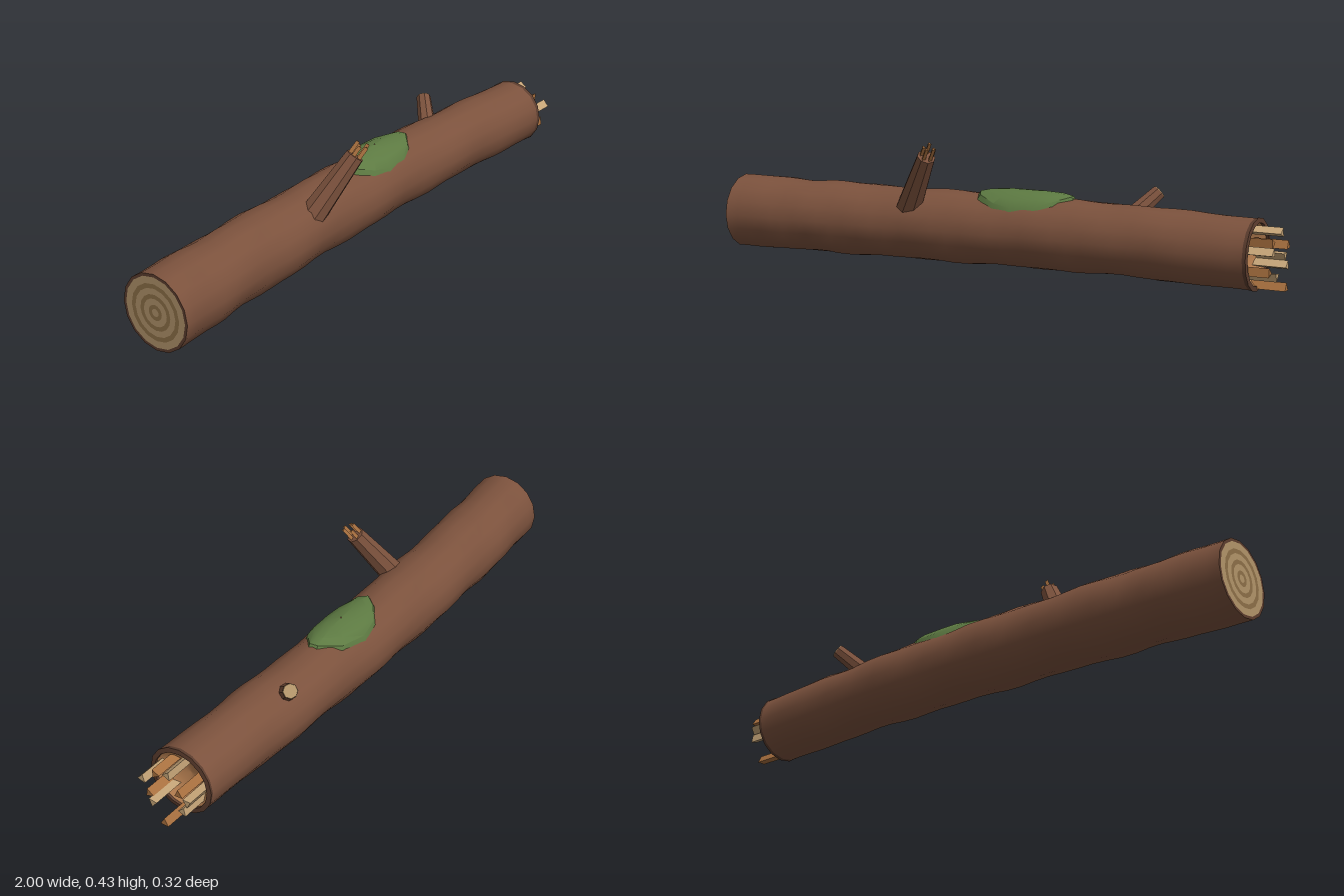
import * as THREE from 'three';
import { toCreasedNormals } from 'three/addons/utils/BufferGeometryUtils.js';

const SIDES = 16;
const V = (x, y, z) => new THREE.Vector3(x, y, z);

// Gently bowed centre line of the trunk
const spine = new THREE.CatmullRomCurve3([
  V(-1, 0.136, 0), V(-0.6, 0.135, -0.024), V(-0.1, 0.138, -0.035),
  V(0.4, 0.143, -0.029), V(0.905, 0.14, -0.005),
]);
const trunkRadius = (t) => THREE.MathUtils.lerp(0.128, 0.114, t);

function material(name, color, side = THREE.FrontSide) {
  const m = new THREE.MeshStandardMaterial({ color, side });
  m.name = name;
  return m;
}

export function createModel() {
  const group = new THREE.Group();
  const bark = material('bark', 0x7c523d);
  const darkBark = material('darkBark', 0x5c3d2e, THREE.DoubleSide);
  const innerWood = material('innerWood', 0xb57e50, THREE.DoubleSide);
  const cutWood = material('cutWood', 0xb2946a);
  const growthRing = material('growthRing', 0x8d7048);
  const paleSplinter = material('paleSplinter', 0xc6a578);
  const brownSplinter = material('brownSplinter', 0xa8703f);
  const moss = material('moss', 0x5d7a42, THREE.DoubleSide);

  const add = (name, geometry, mat, parent = group) => {
    const mesh = new THREE.Mesh(geometry, mat);
    mesh.name = name;
    parent.add(mesh);
    return mesh;
  };

  // Faceted tapered stick running from a to b
  const stick = (name, a, b, r0, r1, sides, mat, parent) => {
    const g = new THREE.CylinderGeometry(r1, r0, a.distanceTo(b), sides).toNonIndexed();
    g.computeVertexNormals();
    const mesh = add(name, g, mat, parent);
    mesh.position.copy(a).add(b).multiplyScalar(0.5);
    mesh.quaternion.setFromUnitVectors(V(0, 1, 0), b.clone().sub(a).normalize());
    return mesh;
  };

  // Trunk: cross-sections along the spine with slight swellings
  const steps = 36, pos = [], index = [];
  for (let i = 0; i <= steps; i++) {
    const t = i / steps, c = spine.getPoint(t), ends = Math.min(1, 8 * t * (1 - t));
    for (let j = 0; j < SIDES; j++) {
      const a = (j / SIDES) * Math.PI * 2;
      const bump = 0.022 * Math.sin(t * 31 + 2 * a) + 0.016 * Math.sin(t * 57 - 3 * a + 1);
      const r = trunkRadius(t) * (1 + ends * bump);
      pos.push(c.x, c.y + r * Math.cos(a), c.z + r * Math.sin(a));
      if (i === steps) continue;
      const k = (j + 1) % SIDES, p = i * SIDES, q = p + SIDES;
      index.push(p + j, p + k, q + j, p + k, q + k, q + j);
    }
  }
  const trunk = new THREE.BufferGeometry();
  trunk.setAttribute('position', new THREE.Float32BufferAttribute(pos, 3));
  trunk.setIndex(index);
  trunk.computeVertexNormals();
  add('trunk', trunk, bark);

  // Sawn end with growth rings
  const sawnEnd = new THREE.Group();
  sawnEnd.name = 'sawnEnd';
  sawnEnd.position.copy(spine.getPoint(0));
  sawnEnd.rotation.y = -Math.PI / 2;
  group.add(sawnEnd);
  const radii = [0.128, 0.118, 0.095, 0.08, 0.06, 0.046, 0.026, 0.013, 0];
  for (let i = 0; i < radii.length - 1; i++) {
    const mat = i === 0 ? darkBark : i % 2 ? cutWood : growthRing;
    add('woodRing', new THREE.RingGeometry(radii[i + 1], radii[i], SIDES), mat, sawnEnd);
  }

  // Broken end: bark rim around a hollowed core
  const brokenEnd = new THREE.Group();
  brokenEnd.name = 'brokenEnd';
  brokenEnd.position.copy(spine.getPoint(1));
  brokenEnd.rotation.z = -Math.PI / 2;
  group.add(brokenEnd);
  const lathe = (points) =>
    new THREE.LatheGeometry(points.map(([r, y]) => new THREE.Vector2(r, y)), SIDES);
  add('barkRim', toCreasedNormals(lathe([[0.114, -0.012], [0.116, 0], [0.1, 0.002], [0.099, -0.012]]), 0.5), darkBark, brokenEnd);
  add('hollowCore', lathe([[0, -0.05], [0.04, -0.045], [0.075, -0.03], [0.1, -0.006]]), innerWood, brokenEnd);

  // Splinters left on the broken end: z, y, tip x, twist
  [
    [0.08, 0.163, 0.985, 0.3], [0.04, 0.187, 0.97, 1.1], [-0.015, 0.213, 0.98, 0.1],
    [-0.06, 0.166, 0.985, 0.6], [-0.078, 0.13, 0.97, 1.6], [-0.068, 0.1, 0.98, 0.2],
    [0.043, 0.086, 0.985, 1.4], [0.068, 0.1, 0.97, 0.9], [-0.01, 0.042, 0.998, 0.5],
  ].forEach(([z, y, x, twist], i) => {
    const mat = [paleSplinter, brownSplinter, paleSplinter, brownSplinter, paleSplinter,
      paleSplinter, paleSplinter, brownSplinter, brownSplinter][i];
    stick('splinter', V(0.86, y, z), V(x, y, z), 0.017, 0.017, 3, mat).rotateY(twist);
  });

  // Tall snapped branch with splintered tip
  const foot = V(-0.32, 0.19, 0.033), tip = V(-0.199, 0.39, 0.12);
  const axis = tip.clone().sub(foot).normalize();
  stick('snappedBranch', foot, tip, 0.045, 0.031, 8, bark);
  const side = V(0, 0, 1).cross(axis).normalize(), up = axis.clone().cross(side);
  for (let i = 0; i < 5; i++) {
    const a = i * 1.257 + 0.4, len = 0.035 + 0.008 * (i % 3);
    const base = tip.clone().addScaledVector(side, 0.018 * Math.cos(a)).addScaledVector(up, 0.018 * Math.sin(a));
    stick('branchSplinter', base.clone().addScaledVector(axis, -0.01), base.clone().addScaledVector(axis, len),
      0.008, 0.007, 3, brownSplinter);
  }

  // Short sawn stub
  const stubFoot = V(0.435, 0.195, -0.05), stubTip = V(0.52, 0.29, -0.133);
  const stubAxis = stubTip.clone().sub(stubFoot).normalize();
  stick('stub', stubFoot, stubTip, 0.032, 0.025, 8, bark);
  stick('stubCut', stubTip, stubTip.clone().addScaledVector(stubAxis, 0.003), 0.024, 0.023, 8, cutWood);

  // Moss patch draped over the trunk: outline as x, z
  const outline = [
    [-0.085, -0.02], [-0.05, -0.065], [0.01, -0.108], [0.09, -0.122], [0.2, -0.105],
    [0.27, -0.05], [0.275, -0.02], [0.22, 0.03], [0.16, 0.055], [0.07, 0.062], [0, 0.05], [-0.07, 0.015],
  ];
  const n = outline.length, mossPos = [], mossIndex = [];
  const levels = [[0.02, 0.022], [0.4, 0.021], [0.72, 0.018], [0.92, 0.01], [1, -0.012]];
  levels.forEach(([s, h], l) => outline.forEach(([ox, oz], j) => {
    const x = 0.1 + (ox - 0.1) * s, z = -0.03 + (oz + 0.03) * s;
    const t = (x + 1) / 1.905, c = spine.getPointAt(t), r = trunkRadius(t);
    mossPos.push(x, c.y + Math.sqrt(Math.max(0, r * r - (z - c.z) ** 2)) + h, z);
    if (l === levels.length - 1) return;
    const k = (j + 1) % n, p = l * n, q = p + n;
    mossIndex.push(p + j, p + k, q + j, p + k, q + k, q + j);
  }));
  // Outline runs clockwise seen from above, so faces are reversed to point up
  mossIndex.reverse();
  const mossGeometry = new THREE.BufferGeometry();
  mossGeometry.setAttribute('position', new THREE.Float32BufferAttribute(mossPos, 3));
  mossGeometry.setIndex(mossIndex);
  add('mossPatch', toCreasedNormals(mossGeometry, 0.5), moss);

  return group;
}
